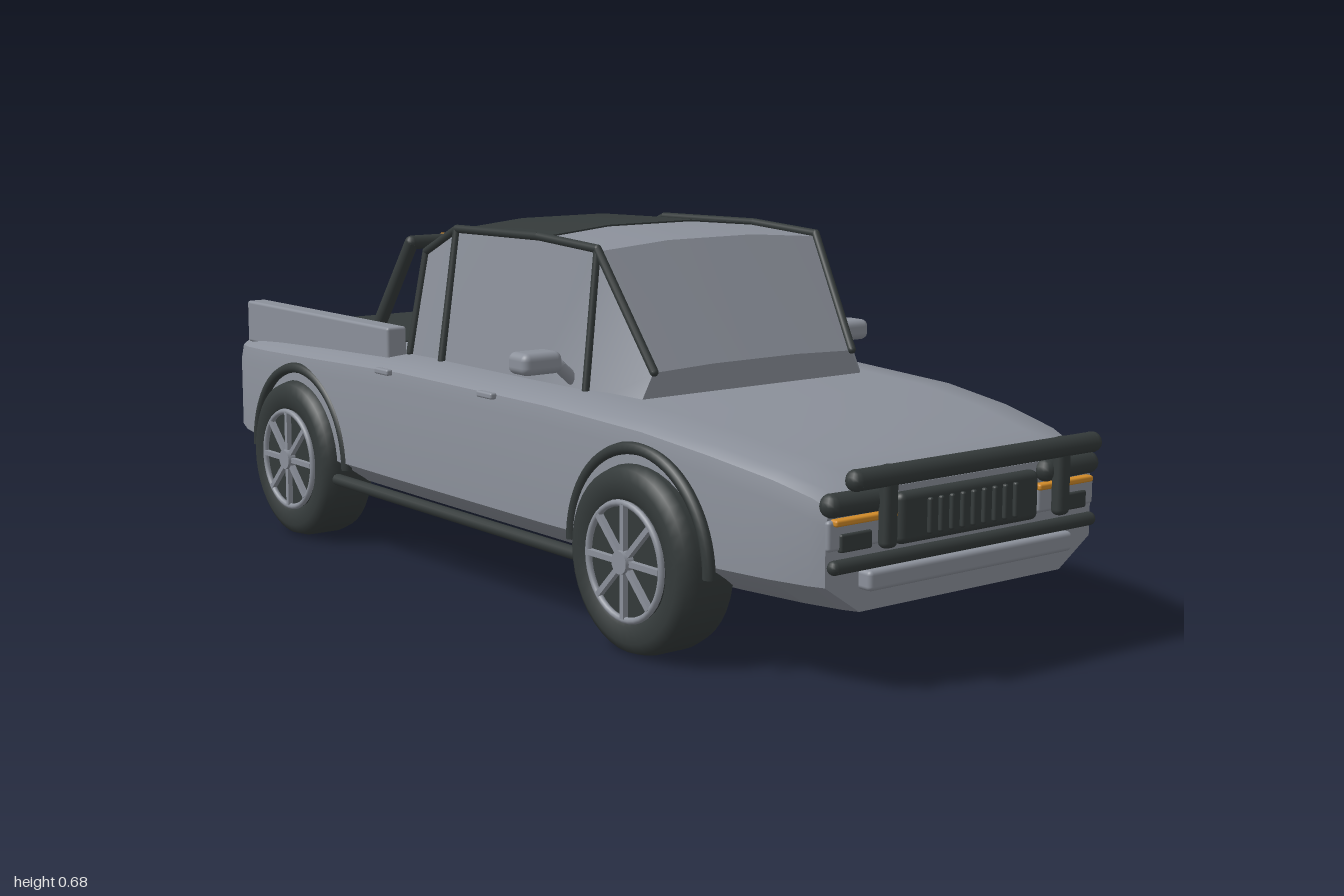
import * as THREE from 'three';
import { toCreasedNormals } from 'three/addons/utils/BufferGeometryUtils.js';
import { RoundedBoxGeometry } from 'three/addons/geometries/RoundedBoxGeometry.js';

const paint = (name, color) => {
  const m = new THREE.MeshStandardMaterial({ color });
  m.name = name;
  return m;
};

export function createModel() {
  const grey = paint('bodyGrey', 0x8b909a);
  const dark = paint('darkTrim', 0x343a3a);
  const amber = paint('amberLamp', 0xd08a28);
  const red = paint('redLamp', 0xd03222);
  const model = new THREE.Group();
  model.name = 'pickupTruck';

  const add = (name, geo, mat, x = 0, y = 0, z = 0, parent = model) => {
    const mesh = new THREE.Mesh(geo, mat);
    mesh.name = name;
    mesh.position.set(x, y, z);
    parent.add(mesh);
    return mesh;
  };
  const box = (name, mat, w, h, d, x, y, z, r = 0.006) =>
    add(name, new RoundedBoxGeometry(w, h, d, 3, r), mat, x, y, z);

  // Round-ended bars through a list of points
  const bar = (name, mat, r, pts) => {
    const group = new THREE.Group();
    group.name = name;
    const v = pts.map((p) => new THREE.Vector3(...p));
    v.forEach((p, i) => {
      add(name + 'Joint', new THREE.SphereGeometry(r, 12, 8), mat, p.x, p.y, p.z, group);
      if (!i) return;
      const dir = p.clone().sub(v[i - 1]);
      const rod = add(name + 'Rod', new THREE.CylinderGeometry(r, r, dir.length(), 12), mat, 0, 0, 0, group);
      rod.position.copy(p).add(v[i - 1]).multiplyScalar(0.5);
      rod.quaternion.setFromUnitVectors(new THREE.Vector3(0, 1, 0), dir.normalize());
    });
    model.add(group);
  };

  // Skin over mirrored half-sections [z, [[x, y], ...]] from front to back
  const loft = (sections, crease) => {
    const pos = [], idx = [];
    let n = 0;
    for (const [z, half] of sections) {
      const ring = [...half, ...half.slice(1, -1).reverse().map(([x, y]) => [-x, y])];
      n = ring.length;
      ring.forEach(([x, y]) => pos.push(x, y, z));
    }
    const last = (sections.length - 1) * n;
    for (let o = 0; o < last; o += n) {
      for (let j = 0; j < n; j++) {
        const a = o + j, b = o + (j + 1) % n, c = b + n, d = a + n;
        idx.push(a, d, c, a, c, b);
      }
    }
    for (let j = 1; j < n - 1; j++) idx.push(0, j, j + 1, last, last + j + 1, last + j);
    const g = new THREE.BufferGeometry();
    g.setAttribute('position', new THREE.Float32BufferAttribute(pos, 3));
    g.setIndex(idx);
    return toCreasedNormals(g, crease);
  };

  // Body: z, half width, top height
  const hull = [
    [0.945, 0.31, 0.325], [0.92, 0.322, 0.34], [0.85, 0.342, 0.36], [0.72, 0.365, 0.382],
    [0.56, 0.38, 0.4], [0.3, 0.388, 0.41], [-0.2, 0.388, 0.41], [-0.55, 0.385, 0.398],
    [-0.75, 0.375, 0.39], [-0.88, 0.352, 0.383], [-0.95, 0.325, 0.378], [-0.98, 0.3, 0.37],
  ].map(([z, w, t]) => [z, [[0, 0.13], [w - 0.075, 0.13], [w, 0.18], [w, t - 0.05],
    [w - 0.006, t - 0.02], [w - 0.025, t - 0.006], [w - 0.1, t], [0, t]]]);
  add('body', loft(hull, 0.6), grey);

  // Cabin: z, base half width, top half width, side height, middle height
  const cabin = [
    [0.42, 0.275, 0.237, 0.45, 0.455], [0.29, 0.298, 0.262, 0.655, 0.667],
    [0.11, 0.3, 0.262, 0.665, 0.68], [-0.17, 0.298, 0.258, 0.66, 0.675],
    [-0.29, 0.29, 0.252, 0.61, 0.625], [-0.31, 0.285, 0.25, 0.45, 0.45],
  ].map(([z, b, w, s, m]) => [z, [[0, 0.38], [b, 0.38], [w, s], [0.1, m], [0, m]]]);
  add('cabin', loft(cabin, 0.5), grey);
  const roof = [[0.11, 0], [-0.175, -0.005]].map(([z, d]) => [z, [[0, 0.675 + d], [0.1, 0.675 + d],
    [0.258, 0.66 + d], [0.26, 0.668 + d], [0.1, 0.683 + d], [0, 0.683 + d]]]);
  add('roofPanel', loft(roof, 0.5), dark);

  // Load bed
  box('bedCover', dark, 0.56, 0.02, 0.42, 0, 0.393, -0.713, 0.004);

  // Wheel pieces shared by all four corners
  const tyreProfile = [[0.1, -0.058], [0.14, -0.06], [0.157, -0.05], [0.163, -0.03], [0.163, 0.03],
    [0.157, 0.05], [0.14, 0.06], [0.112, 0.058], [0.1, 0.045]].map(([r, h]) => new THREE.Vector2(r, h));
  const tyre = new THREE.LatheGeometry(tyreProfile, 40);
  const disc = new THREE.CylinderGeometry(0.103, 0.103, 0.105, 32);
  const rim = new THREE.TorusGeometry(0.1, 0.006, 8, 40).rotateX(Math.PI / 2);
  const spoke = new THREE.BoxGeometry(0.086, 0.012, 0.01).translate(0.055, 0, 0);
  const hub = new THREE.CylinderGeometry(0.02, 0.022, 0.022, 20);
  const arch = new THREE.TorusGeometry(0.187, 0.011, 8, 40, Math.PI).rotateY(Math.PI / 2);

  for (const s of [1, -1]) {
    for (const [where, z] of [['front', 0.56], ['rear', -0.59]]) {
      const wheel = new THREE.Group();
      wheel.name = where + 'Wheel';
      wheel.position.set(s * 0.352, 0.163, z);
      wheel.rotation.z = -s * Math.PI / 2;
      model.add(wheel);
      add('tyre', tyre, dark, 0, 0, 0, wheel);
      add('wheelDisc', disc, dark, 0, 0, 0, wheel);
      add('rim', rim, grey, 0, 0.057, 0, wheel);
      add('hub', hub, grey, 0, 0.058, 0, wheel);
      for (let i = 0; i < 8; i++) {
        add('spoke', spoke, grey, 0, 0.057, 0, wheel).rotation.y = i * Math.PI / 4;
      }
      add(where + 'WheelArch', arch, dark, s * 0.38, 0.165, z);
    }

    // Cabin frame
    bar('windscreenPillar', dark, 0.008, [[s * 0.237, 0.452, 0.422], [s * 0.262, 0.66, 0.29]]);
    bar('frontPillar', dark, 0.007, [[s * 0.296, 0.41, 0.3], [s * 0.262, 0.66, 0.29]]);
    bar('roofRail', dark, 0.008, [[s * 0.262, 0.66, 0.29], [s * 0.262, 0.67, 0.11],
      [s * 0.258, 0.665, -0.17], [s * 0.253, 0.612, -0.29], [s * 0.285, 0.41, -0.305]]);
    bar('middlePillar', dark, 0.008, [[s * 0.258, 0.665, -0.17], [s * 0.297, 0.41, -0.17]]);

    // Sides
    bar('sill', dark, 0.012, [[s * 0.385, 0.142, 0.4], [s * 0.385, 0.142, -0.43]]);
    box('bedRail', grey, 0.045, 0.09, 0.59, s * 0.312, 0.417, -0.605);
    box('mirror', grey, 0.085, 0.04, 0.06, s * 0.374, 0.462, 0.255, 0.014);
    bar('mirrorStalk', grey, 0.012, [[s * 0.29, 0.425, 0.25], [s * 0.318, 0.45, 0.25], [s * 0.35, 0.46, 0.253]]);
    for (const z of [0.12, -0.24]) box('doorHandle', grey, 0.014, 0.012, 0.05, s * 0.388, 0.388, z, 0.004);

    // Nose lamps and guard uprights
    box('headlampPanel', grey, 0.14, 0.05, 0.02, s * 0.24, 0.262, 0.942);
    box('fogLamp', dark, 0.068, 0.03, 0.012, s * 0.253, 0.249, 0.951, 0.004);
    box('indicator', amber, 0.135, 0.011, 0.02, s * 0.233, 0.283, 0.95, 0.004);
    bar('headlampBar', dark, 0.02, [[s * 0.188, 0.31, 0.95], [s * 0.298, 0.31, 0.945]]);
    box('guardUpright', dark, 0.03, 0.135, 0.024, s * 0.202, 0.302, 0.972, 0.01);

    // Tail lamps
    bar('tailLamp', red, 0.003, [[s * 0.235, 0.28, -0.98], [s * 0.235, 0.372, -0.98]]);
    add('tailLampTube', new THREE.CylinderGeometry(0.015, 0.015, 0.1, 16), red, s * 0.235, 0.327, -0.98);
  }

  // Grille, guard bars and bumpers
  box('grille', dark, 0.325, 0.085, 0.03, 0, 0.272, 0.947, 0.012);
  for (let i = -4; i <= 4; i++) box('grilleSlat', dark, 0.009, 0.06, 0.012, i * 0.025, 0.272, 0.963, 0.004);
  bar('upperGuardBar', dark, 0.018, [[-0.274, 0.352, 0.974], [0.274, 0.352, 0.974]]);
  bar('lowerGuardBar', dark, 0.012, [[-0.298, 0.212, 0.953], [0.298, 0.212, 0.953]]);
  box('frontBumper', grey, 0.476, 0.034, 0.04, 0, 0.184, 0.952, 0.008);
  bar('rearBumper', dark, 0.017, [[-0.29, 0.26, -0.982], [0.29, 0.26, -0.982]]);

  // Roll bar with lamps
  bar('rollBar', dark, 0.014, [[-0.28, 0.44, -0.44], [-0.25, 0.625, -0.35], [0.25, 0.625, -0.35], [0.28, 0.44, -0.44]]);
  for (let i = -2; i <= 2; i++) box('rollBarLamp', amber, 0.036, 0.018, 0.022, i * 0.075, 0.63, -0.364, 0.004);

  return model;
}
